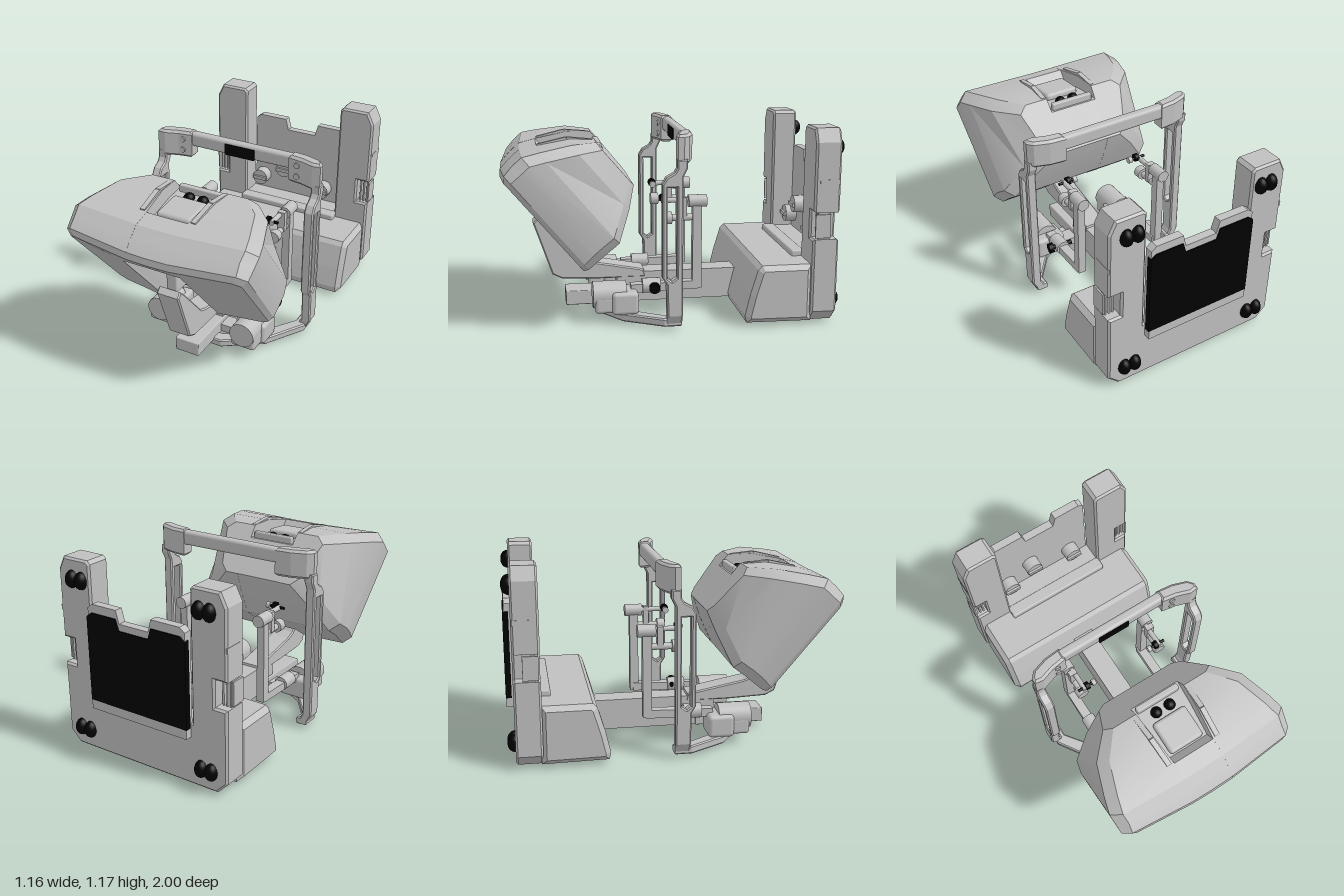
import * as THREE from 'three';
import { toCreasedNormals } from 'three/addons/utils/BufferGeometryUtils.js';
import { RoundedBoxGeometry } from 'three/addons/geometries/RoundedBoxGeometry.js';

const grey = new THREE.MeshStandardMaterial({ color: 0xc0c0c0 });
grey.name = 'light grey';
const black = new THREE.MeshStandardMaterial({ color: 0x020202 });
black.name = 'black';

export function createModel() {
  const root = new THREE.Group();
  const add = (name, geo, mat = grey) => {
    const m = new THREE.Mesh(geo, mat);
    m.name = name;
    root.add(m);
    return m;
  };
  // Box given by its low and high limits on each axis
  const box = (name, [x0, x1], [y0, y1], [z0, z1], mat = grey, r = 0) => {
    const s = [x1 - x0, y1 - y0, z1 - z0];
    const g = r ? new RoundedBoxGeometry(...s, 2, r) : new THREE.BoxGeometry(...s);
    return add(name, g.translate((x0 + x1) / 2, (y0 + y1) / 2, (z0 + z1) / 2), mat);
  };
  const extrude = (pts, depth, hole, bevel) => {
    const shape = new THREE.Shape(pts.map(p => new THREE.Vector2(...p)));
    if (hole) shape.holes.push(new THREE.Path(hole.map(p => new THREE.Vector2(...p))));
    const g = new THREE.ExtrudeGeometry(shape, {
      depth: depth - 2 * bevel, bevelEnabled: bevel > 0, bevelThickness: bevel,
      bevelSize: bevel, bevelOffset: -bevel, bevelSegments: 1
    });
    return g.translate(0, 0, -(depth - 2 * bevel) / 2);
  };
  // Outline as (z, y), centred on x
  const sideExtrude = (name, pts, x, width, hole, bevel = 0.008) =>
    add(name, extrude(pts, width, hole, bevel).rotateY(-Math.PI / 2).translate(x, 0, 0));
  // Outline as (x, z), centred on y
  const flatExtrude = (name, pts, y, height, bevel = 0.008) =>
    add(name, extrude(pts, height, null, bevel).rotateX(Math.PI / 2).translate(0, y, 0));
  // Move vertices by a rule
  const reshape = (geo, rule) => {
    const p = geo.attributes.position, v = new THREE.Vector3();
    for (let i = 0; i < p.count; i++) {
      rule(v.fromBufferAttribute(p, i));
      p.setXYZ(i, v.x, v.y, v.z);
    }
    geo.computeVertexNormals();
  };
  // Square bar or round rod between two points
  const link = (name, a, b, w, h, round = false, mat = grey) => {
    const A = new THREE.Vector3(...a), B = new THREE.Vector3(...b), len = A.distanceTo(B);
    const g = round ? new THREE.CylinderGeometry(w, w, len, 20).rotateX(Math.PI / 2) : new THREE.BoxGeometry(w, h, len);
    const m = add(name, g, mat);
    m.position.copy(A).lerp(B, 0.5);
    m.lookAt(B);
    return m;
  };
  const mirrored = pts => [...pts, ...pts.map(([x, y]) => [-x, y]).reverse()];

  // Tilted head: lofted sections running from its front face to its narrow back
  const tilt = (x, s, t) => [x, 0.35 + 0.77 * s + 0.64 * t, 0.56 + 0.64 * s - 0.77 * t];
  const ring = ([t, s0, s1, wb, wt, c, n, notch, m, dip]) => {
    const half = [[n, s0 + notch], [n, s0], [wb - c, s0], [wb, s0 + c], [wt, s1 - c],
      [wt - c, s1], [m, s1], [m, s1 - dip]];
    const bow = 0.05 * Math.max(0, 1 - t / 0.4);
    return [...half, [0, s1 - dip], ...half.map(([x, s]) => [-x, s]).reverse()]
      .map(([x, s]) => tilt(x, s, t + bow * (x / 0.55) ** 2));
  };
  const e = 0.001;
  const rings = [
    [0, 0, 0.685, 0.51, 0.54, 0.04, 0.18, 0.62, 0.13, e],
    [0.03, -0.012, 0.715, 0.53, 0.57, 0.05, 0.175, 0.63, 0.13, e],
    [0.11, -0.012, 0.727, 0.54, 0.575, 0.06, 0.15, 0.62, 0.13, e],
    [0.111, -0.012, 0.727, 0.54, 0.575, 0.06, 0.15, e, 0.13, e],
    [0.19, -0.01, 0.73, 0.545, 0.58, 0.06, 0.15, e, 0.13, e],
    [0.285, -0.015, 0.685, 0.53, 0.555, 0.06, 0.15, e, 0.13, e],
    [0.286, -0.015, 0.685, 0.53, 0.555, 0.06, 0.15, e, 0.13, 0.08],
    [0.46, 0.07, 0.588, 0.41, 0.49, 0.06, 0.15, e, 0.15, 0.10],
    [0.57, 0.14, 0.49, 0.29, 0.36, 0.05, 0.15, e, 0.16, 0.09]
  ].map(ring);
  const pos = [];
  const n = rings[0].length, last = rings.length - 1;
  for (let i = 0; i < last; i++) {
    for (let j = 0; j < n; j++) {
      const k = (j + 1) % n, P = rings[i], Q = rings[i + 1];
      pos.push(...P[j], ...Q[j], ...P[k], ...P[k], ...Q[j], ...Q[k]);
    }
  }
  // End caps: one fan from each upper notch corner
  const cap = [[0, 8, 16]];
  for (let j = 1; j < 8; j++) cap.push([0, j, j + 1], [16, 15 - j, 16 - j]);
  cap.forEach(([a, b, c]) => {
    const F = rings[0], B = rings[last];
    pos.push(...F[a], ...F[b], ...F[c], ...B[a], ...B[c], ...B[b]);
  });
  const headGeo = new THREE.BufferGeometry();
  headGeo.setAttribute('position', new THREE.Float32BufferAttribute(pos, 3));
  add('tiltedHead', toCreasedNormals(headGeo, 0.4));
  // Head pocket: cushion, visor, lenses and rails
  const cushion = box('pocketCushion', [-0.11, 0.11], [-0.02, 0.03], [-0.1, 0.1], grey, 0.02);
  cushion.position.set(0, 1.02, 0.62);
  cushion.rotation.x = 0.1;
  box('pocketVisor', [-0.14, 0.14], [0.98, 1.065], [0.39, 0.425], grey, 0.008);
  for (const s of [-1, 1]) {
    const lens = add('pocketLens', new THREE.SphereGeometry(0.034, 16, 10), black);
    lens.position.set(0.045 * s, 1.022, 0.47);
    link('pocketRail', [0.16 * s, 1.055, 0.77], [0.17 * s, 1.095, 0.6], 0.03, 0.03);
    link('pocketRail', [0.17 * s, 1.095, 0.6], [0.175 * s, 1.08, 0.45], 0.03, 0.03);
  }

  // Curved arm carrying the head, and its hinge
  sideExtrude('supportArm', [[0.81, 0.57], [0.78, 0.6], [0.75, 0.575], [0.56, 0.345], [0.5, 0.32],
    [0.13, 0.25], [0.12, 0.2], [0.4, 0.2], [0.64, 0.21], [0.7, 0.24]], 0, 0.145);
  box('hingeTongue', [-0.035, 0.035], [0.57, 0.7], [0.64, 0.76], grey, 0.01);
  box('hingePlate', [-0.045, 0.045], [0.69, 0.79], [0.6, 0.69]);

  // Central beam
  box('beamFront', [-0.08, 0.08], [0.04, 0.13], [0.18, 0.62], grey, 0.006);
  box('beam', [-0.07, 0.07], [0.045, 0.235], [-0.5, 0.3]);

  // Angled bumper bar joining the feet of the two posts, rising towards its ends
  const bumper = flatExtrude('bumper', mirrored([[0.13, 0.44], [0.37, 0.3], [0.525, 0.07], [0.525, -0.035],
    [0.455, -0.035], [0.455, 0.04], [0.31, 0.23], [0.11, 0.36]]), 0.025, 0.05);
  reshape(bumper.geometry, v => { v.y += 0.05 * Math.abs(v.x); });

  for (const s of [-1, 1]) {
    const mx = pts => pts.map(([x, z]) => [x * s, z]);
    // Handle post with its slot and turned-in foot, and the grip corner
    const post = sideExtrude('handlePost', [[-0.035, 0.03], [0.055, 0.03], [0.056, 0.1], [0.06, 0.29], [0.085, 0.33],
      [0.085, 0.88], [0.06, 0.92], [0.015, 0.945], [0, 0.97], [0, 1.02], [-0.06, 1.02], [-0.06, 0.97],
      [-0.035, 0.92], [-0.035, 0.5], [-0.035, 0.1]],
    0.525 * s, 0.06, [[0.055, 0.33], [0.03, 0.31], [0, 0.33], [0, 0.86], [0.055, 0.86]]);
    reshape(post.geometry, v => { if (v.y < 0.06) v.x -= 0.035 * s; });
    flatExtrude('gripCorner', mx([[0.33, -0.115], [0.43, -0.105], [0.52, -0.075], [0.55, -0.04],
      [0.55, -0.005], [0.5, 0.002], [0.42, -0.025], [0.33, -0.04]]), 1.075, 0.17, 0.015);
    for (const y of [1.04, 1.11]) link('gripButton', [0.39 * s, y, -0.05], [0.39 * s, y, -0.022], 0.018, 0, true);

    // Drive unit with domed housing
    const dome = add('driveDome', new THREE.CylinderGeometry(0.08, 0.08, 0.2, 28).rotateX(Math.PI / 2));
    dome.position.set(0.29 * s, 0.17, 0.37);
    box('driveBase', [0.29 * s - 0.08, 0.29 * s + 0.08], [0.07, 0.17], [0.27, 0.46], grey, 0.02);
    box('driveHousing', [0.29 * s - 0.1, 0.29 * s + 0.1], [0.06, 0.2], [0.2, 0.36], grey, 0.025);
    box('driveLink', s > 0 ? [0.06, 0.24] : [-0.24, -0.06], [0.05, 0.1], [0.24, 0.34]);
    link('driveStem', [0.28 * s, 0.2, 0.24], [0.28 * s, 0.21, -0.17], 0.06, 0.05);
    link('drivePivot', [0.28 * s, 0.21, 0.06], [0.28 * s, 0.21, 0.17], 0.045, 0, true);

    // Rear upright with clamp and shafts
    box('upright', [0.285 * s - 0.025, 0.285 * s + 0.025], [0.19, 0.75], [-0.19, -0.135]);
    link('uprightHead', [0.285 * s, 0.725, -0.22], [0.285 * s, 0.725, -0.11], 0.038, 0, true);
    link('clampShaft', [0.27 * s, 0.73, -0.12], [0.27 * s, 0.73, 0.05], 0.016, 0, true);
    link('clampScrew', [0.2 * s, 0.735, 0.035], [0.31 * s, 0.735, 0.035], 0.009, 0, true, black);
    link('clampNut', [0.19 * s, 0.735, 0.035], [0.215 * s, 0.735, 0.035], 0.02, 0, true);
    link('clampKnob', [0.235 * s, 0.74, 0.035], [0.26 * s, 0.74, 0.035], 0.025, 0, true, black);
    link('lowerShaft', [0.28 * s, 0.625, -0.14], [0.28 * s, 0.625, 0.03], 0.02, 0, true);
    link('lowerShaftHead', [0.28 * s, 0.625, -0.01], [0.28 * s, 0.625, 0.04], 0.038, 0, true);
    box('clampBlock', [0.28 * s - 0.025, 0.28 * s + 0.025], [0.62, 0.75], [-0.1, -0.065]);

    // Side clip with upright bars in the tower recess
    box('clipPlate', [0.57 * s - 0.005, 0.57 * s + 0.005], [0.54, 0.68], [-0.9, -0.81]);
    for (let i = 0; i < 3; i++) {
      box('clipBar', [(0.51 + i * 0.023) * s - 0.005, (0.51 + i * 0.023) * s + 0.005], [0.53, 0.69], [-0.9, -0.83]);
    }
    box('towerStrip', [0.566 * s - 0.006, 0.566 * s + 0.006], [0.855, 0.885], [-0.95, -0.83]);

    // Paired rubber feet on the back
    for (const y of [0.14, 1.06]) {
      for (const x of [0.4, 0.468]) {
        const foot = add('rearFoot', new THREE.SphereGeometry(1, 18, 12), black);
        foot.scale.set(0.038, 0.052, 0.044);
        foot.position.set(x * s, y, -0.956);
      }
    }
  }
  // Adjusting screw through the left drive stem
  link('driveScrew', [0.21, 0.222, 0.08], [0.35, 0.212, 0.1], 0.014, 0, true, black);
  link('driveScrewKnob', [0.335, 0.212, 0.1], [0.365, 0.21, 0.104], 0.032, 0, true, black);

  // Handle crossbar and display
  box('crossbar', [-0.35, 0.35], [1.065, 1.155], [-0.11, -0.05], grey, 0.02);
  box('display', [-0.1, 0.1], [1.066, 1.136], [-0.051, -0.045], black);

  // Back frame with two towers and side recesses
  const frame = mirrored([[0.5, 0.02], [0.57, 0.09], [0.57, 0.53], [0.49, 0.53], [0.49, 0.69], [0.57, 0.69],
    [0.57, 1.1], [0.53, 1.18], [0.36, 1.18], [0.34, 1.16], [0.34, 0.4]]);
  add('backFrame', extrude(frame, 0.155, null, 0.012).translate(0, 0, -0.8775));
  // Centre panel with notched top, black back plate and ledge
  const panel = [[-0.333, 0.37], [0.333, 0.37], [0.333, 0.93], [0.3, 0.955], [0.13, 0.955], [0.11, 0.88],
    [-0.09, 0.88], [-0.11, 0.955], [-0.3, 0.955], [-0.333, 0.93]];
  add('centrePanel', extrude(panel, 0.05, null, 0).translate(0, 0, -0.965));
  const plate = panel.map(([x, y]) => [x * 1.015, y > 0.9 ? y - 0.05 : y > 0.5 ? 0.84 : y]);
  add('backPlate', extrude(plate, 0.034, null, 0).translate(0, 0, -0.981), black);
  box('backLedge', [-0.335, 0.335], [0.315, 0.372], [-0.998, -0.95]);
  // Round knobs on the panel's inner face
  [[-0.27, 0.5], [-0.09, 0.6], [0.2, 0.5]].forEach(([x, y]) => {
    link('panelKnob', [x, y, -0.94], [x, y, -0.87], 0.055, 0, true);
    box('panelKnobGrip', [x - 0.05, x + 0.05], [y - 0.012, y + 0.012], [-0.88, -0.855]);
  });

  // Base block: sloped front, bowed outwards in the middle
  const base = extrude([[-0.41, 0.03], [-0.4, 0.07], [-0.43, 0.2], [-0.475, 0.35], [-0.5, 0.375], [-0.81, 0.375],
    [-0.81, 0.025]], 1.12, null, 0.03).rotateY(-Math.PI / 2);
  reshape(base, v => { if (v.z > -0.6) v.z -= 0.02 * Math.abs(v.x); });
  add('baseBlock', base);
  box('baseShelf', [-0.35, 0.35], [0.36, 0.41], [-0.82, -0.74], grey, 0.01);

  return root;
}
